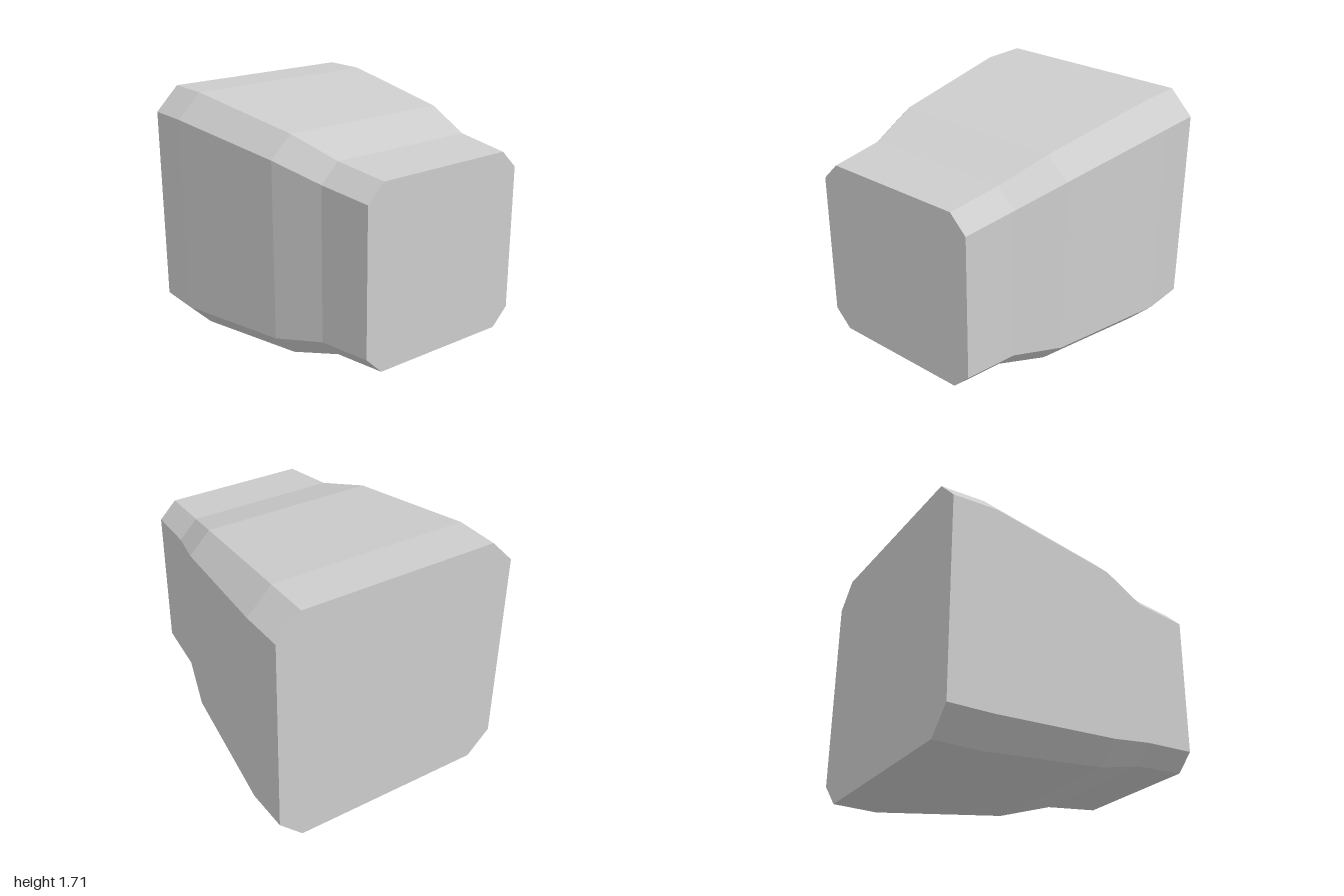
import * as THREE from 'three';

// Chamfered-square sections from front to back: [z, half size]
const SECTIONS = [[1, 0.609], [0.61, 0.643], [0.245, 0.749], [-0.69, 0.857], [-1, 0.853]];
const CENTRE_Y = 0.857;
const FLAT_RATIO = 0.806; // half length of each straight side, relative to half size

// Eight corners, counter-clockwise seen from the front
function section(z, r) {
  const c = r * FLAT_RATIO;
  return [[r, -c], [r, c], [c, r], [-c, r], [-r, c], [-r, -c], [-c, -r], [c, -r]]
    .map(([x, y]) => new THREE.Vector3(x, y + CENTRE_Y, z));
}

function facetedGeometry(points) {
  const geometry = new THREE.BufferGeometry().setFromPoints(points);
  geometry.computeVertexNormals(); // unshared corners keep every facet flat
  return geometry;
}

export function createModel() {
  const model = new THREE.Group();
  model.name = 'taperedBlock';
  const grey = new THREE.MeshStandardMaterial({ color: 0xcccccc });
  grey.name = 'light grey';

  const add = (name, points) => {
    const mesh = new THREE.Mesh(facetedGeometry(points), grey);
    mesh.name = name;
    model.add(mesh);
  };

  const rings = SECTIONS.map(([z, r]) => section(z, r));

  // Shell: bands of flat quads between neighbouring sections
  const shell = [];
  for (let s = 0; s < rings.length - 1; s++) {
    for (let i = 0; i < 8; i++) {
      const j = (i + 1) % 8;
      const a = rings[s][i], b = rings[s][j];
      const c = rings[s + 1][i], d = rings[s + 1][j];
      shell.push(a, c, b, b, c, d);
    }
  }
  add('shell', shell);

  // End faces, fanned from the first corner
  const front = rings[0], back = rings[rings.length - 1];
  const frontFan = [], backFan = [];
  for (let i = 1; i < 7; i++) {
    frontFan.push(front[0], front[i], front[i + 1]);
    backFan.push(back[0], back[i + 1], back[i]);
  }
  add('frontFace', frontFan);
  add('backFace', backFan);

  return model;
}
